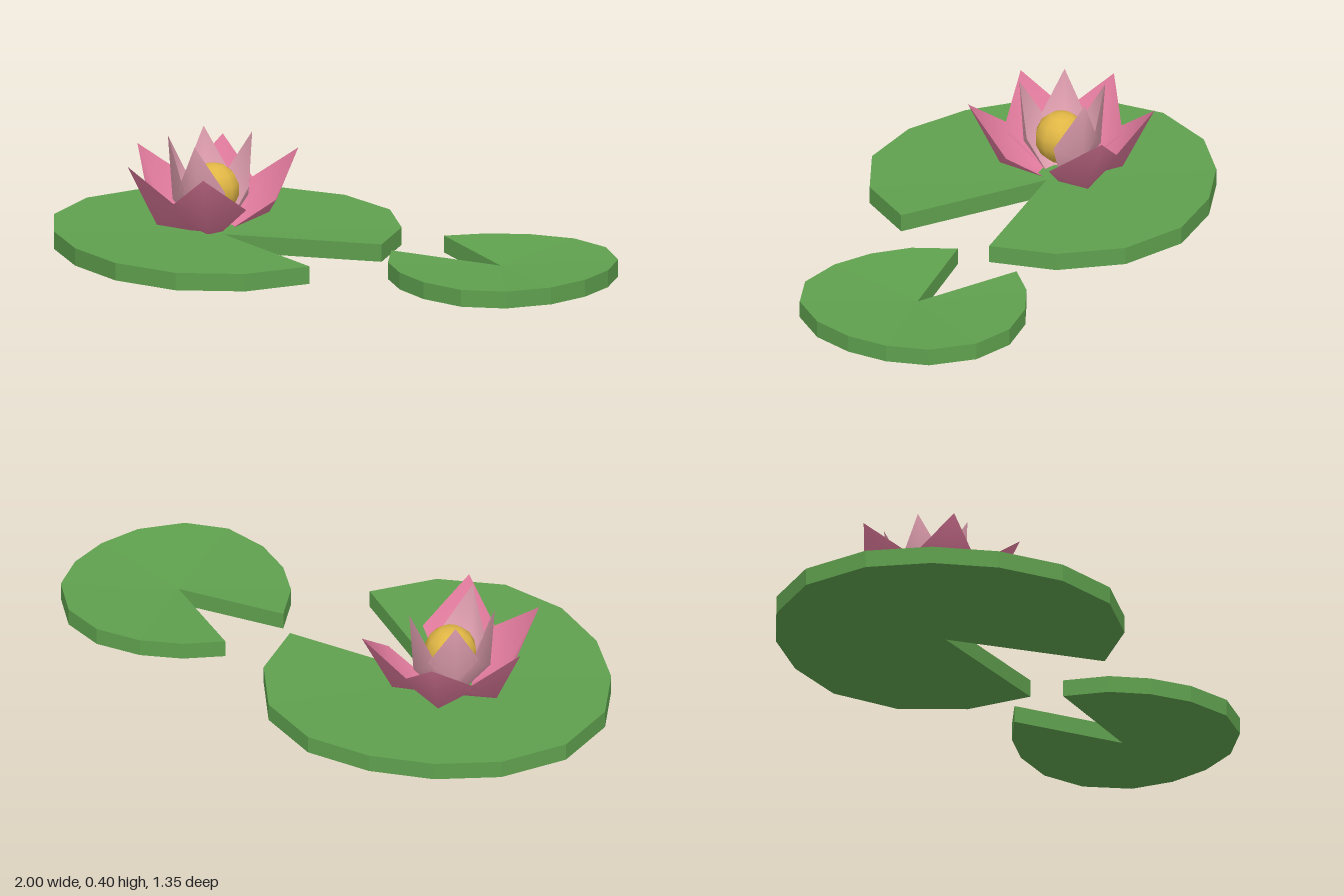
import * as THREE from 'three';

const leafGreen = new THREE.MeshStandardMaterial({ name: 'leafGreen', color: 0x5fa04e });
const outerPink = new THREE.MeshStandardMaterial({ name: 'outerPink', color: 0xe07a9c, side: THREE.DoubleSide });
const innerPink = new THREE.MeshStandardMaterial({ name: 'innerPink', color: 0xe6a3b4, side: THREE.DoubleSide });
const pollenGold = new THREE.MeshStandardMaterial({ name: 'pollenGold', color: 0xe0b645 });

// Thick leaf disc with a notch; the middle sinks slightly below the rim
function makePad(name, centre, rim, bottom, top, dip) {
  const pos = [];
  const loop = [centre, ...rim];
  const at = (i, y) => {
    const k = i % loop.length;
    return [loop[k][0], k === 0 ? y - dip : y, loop[k][1]];
  };
  for (let i = 0; i < loop.length; i++) {
    const a = at(i, bottom), b = at(i + 1, bottom), c = at(i + 1, top), d = at(i, top);
    pos.push(...a, ...b, ...c, ...a, ...c, ...d); // edge wall
    if (i > 0 && i < loop.length - 1) {
      pos.push(...at(0, top), ...d, ...c); // upper face
      pos.push(...at(0, bottom), ...b, ...a); // underside
    }
  }
  const geo = new THREE.BufferGeometry();
  geo.setAttribute('position', new THREE.Float32BufferAttribute(pos, 3));
  geo.computeVertexNormals();
  const mesh = new THREE.Mesh(geo, leafGreen);
  mesh.name = name;
  return mesh;
}

// Cupped pointed petal reaching out along +z: base row, wide row, tip
function makePetalGeometry({ base, mid, edge, tip }) {
  const pos = [
    -base.w, base.y, base.r, 0, base.y - 0.005, base.r + 0.02, base.w, base.y, base.r,
    -edge.w, edge.y, edge.r, 0, mid.y, mid.r, edge.w, edge.y, edge.r,
    0, tip.y, tip.r,
  ];
  const geo = new THREE.BufferGeometry();
  geo.setAttribute('position', new THREE.Float32BufferAttribute(pos, 3));
  geo.setIndex([0, 4, 3, 0, 1, 4, 1, 2, 4, 2, 5, 4, 3, 4, 6, 4, 5, 6]);
  geo.computeVertexNormals();
  return geo;
}

// Ring of petals with one place left open
function addPetals(flower, name, geo, material, count, start, step) {
  for (let i = 0; i < count; i++) {
    const petal = new THREE.Mesh(geo, material);
    petal.name = name + (i + 1);
    petal.rotation.y = THREE.MathUtils.degToRad(start + step * i);
    flower.add(petal);
  }
}

export function createModel() {
  const model = new THREE.Group();
  model.name = 'waterLily';

  // Floating leaves
  model.add(makePad('largePad', [-0.4, -0.1], [
    [0.165, 0.055], [0.21, -0.18], [0.145, -0.415], [-0.03, -0.595], [-0.26, -0.672],
    [-0.49, -0.68], [-0.715, -0.62], [-0.91, -0.465], [-1, -0.23], [-0.975, 0],
    [-0.88, 0.215], [-0.72, 0.4], [-0.5, 0.51], [-0.26, 0.5], [-0.05, 0.375],
  ], 0.02, 0.082, 0.02));
  model.add(makePad('smallPad', [0.6, 0.27], [
    [0.21, 0.16], [0.215, 0.32], [0.27, 0.455], [0.365, 0.575], [0.505, 0.665],
    [0.66, 0.672], [0.81, 0.6], [0.915, 0.485], [0.98, 0.35], [1, 0.2],
    [0.94, 0.04], [0.82, -0.065], [0.66, -0.107], [0.51, -0.1], [0.37, -0.055],
  ], 0.03, 0.09, 0.015));

  // Blossom
  const flower = new THREE.Group();
  flower.name = 'flower';
  flower.position.set(-0.44, 0, -0.148);
  const outer = makePetalGeometry({
    base: { w: 0.04, y: 0.075, r: 0.06 }, mid: { y: 0.105, r: 0.212 },
    edge: { w: 0.134, y: 0.185, r: 0.18 }, tip: { y: 0.323, r: 0.322 },
  });
  const inner = makePetalGeometry({
    base: { w: 0.03, y: 0.08, r: 0.04 }, mid: { y: 0.17, r: 0.14 },
    edge: { w: 0.088, y: 0.225, r: 0.092 }, tip: { y: 0.395, r: 0.156 },
  });
  addPetals(flower, 'outerPetal', outer, outerPink, 5, 0, -60);
  addPetals(flower, 'innerPetal', inner, innerPink, 4, -18, -72);

  // Golden centre
  const heart = new THREE.Mesh(new THREE.SphereGeometry(0.092, 10, 7), pollenGold);
  heart.name = 'flowerCentre';
  heart.position.y = 0.21;
  flower.add(heart);
  model.add(flower);
  return model;
}
